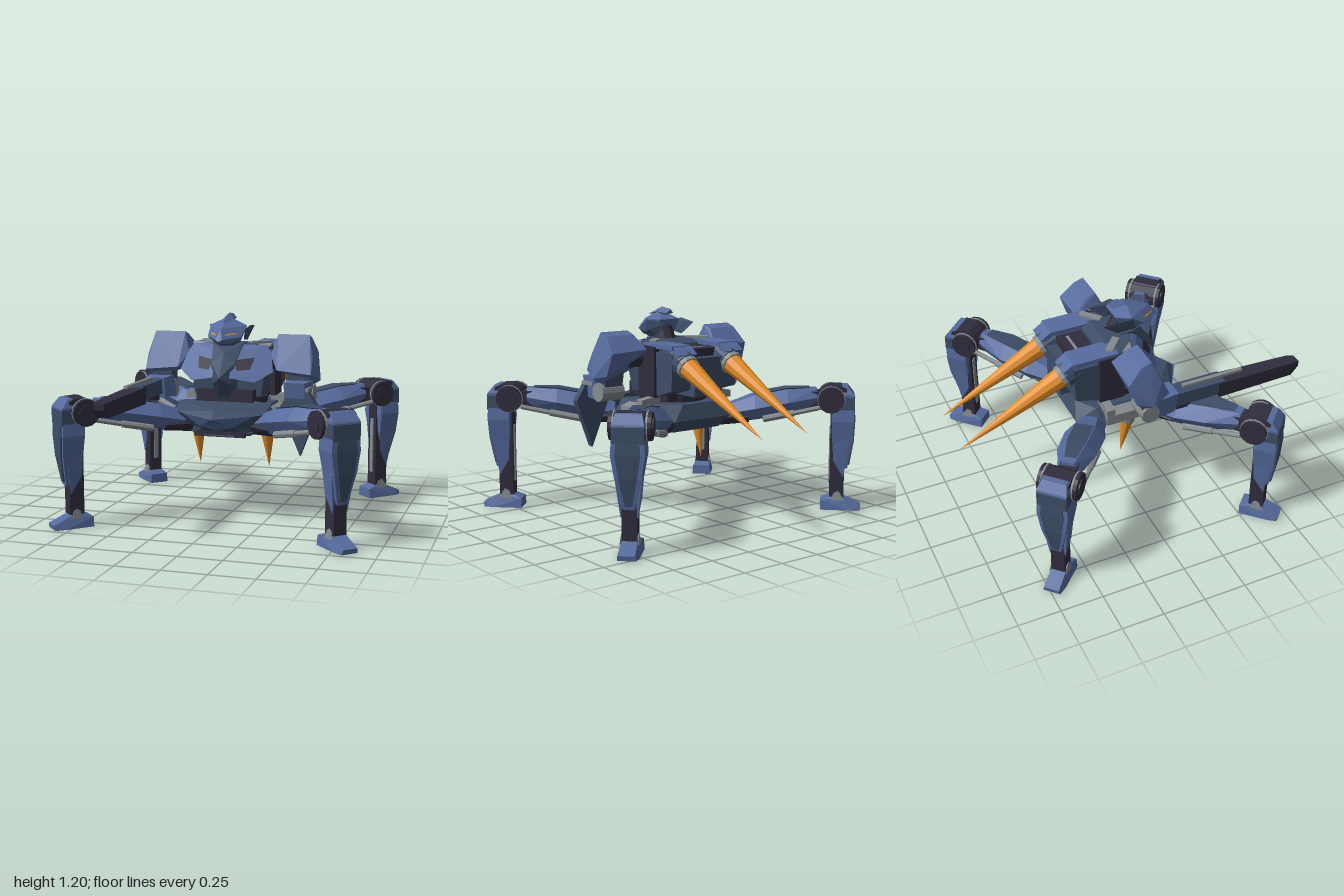
import * as THREE from 'three';
import { ConvexGeometry } from 'three/addons/geometries/ConvexGeometry.js';

const material = (name, color) => {
  const m = new THREE.MeshStandardMaterial({ color });
  m.name = name;
  return m;
};
const blue = material('armour blue', 0x566b9e);
const slate = material('slate blue', 0x3d4d66);
const dark = material('dark frame', 0x302d3d);
const grey = material('bare metal', 0x848a8e);
const orange = material('orange', 0xe08c28);

const V = (p) => new THREE.Vector3(...p);
const mirror = (pts) => pts.map(([x, y, z]) => [-x, y, z]);
const sym = (pts) => [...pts, ...mirror(pts)];

function add(parent, name, geo, mat) {
  const mesh = new THREE.Mesh(geo, mat);
  mesh.name = name;
  parent.add(mesh);
  return mesh;
}
// Faceted convex armour piece
const hull = (parent, name, mat, pts) => add(parent, name, new ConvexGeometry(pts.map(V)), mat);
// Box given by its min and max corners
function box(parent, name, mat, a, b) {
  const g = new THREE.BoxGeometry(b[0] - a[0], b[1] - a[1], b[2] - a[2]);
  g.translate((a[0] + b[0]) / 2, (a[1] + b[1]) / 2, (a[2] + b[2]) / 2);
  return add(parent, name, g, mat);
}
// Faceted cylinder or cone from a to b
function rod(parent, name, mat, a, b, r0, r1 = r0, sides = 12) {
  const d = V(b).sub(V(a));
  const g = new THREE.CylinderGeometry(r1, r0, d.length(), sides).toNonIndexed();
  g.computeVertexNormals();
  const m = add(parent, name, g, mat);
  m.position.copy(V(a)).addScaledVector(d, 0.5);
  m.quaternion.setFromUnitVectors(new THREE.Vector3(0, 1, 0), d.normalize());
  return m;
}
// Six-sided cross-section of the thigh at distance u
const ring = (u, y0, y1, w) => [-1, 1].flatMap((s) => [
  [u, y0, s * w * 0.6], [u, y0 * 0.5 + y1 * 0.5, s * w], [u, y1, s * w * 0.5]]);
// Rectangular cross-section of an upright part
const rect = (y, u0, u1, v) => [[u0, y, -v], [u0, y, v], [u1, y, -v], [u1, y, v]];

function buildThigh() {
  const g = new THREE.Group();
  g.name = 'thigh';
  hull(g, 'thighArmour', blue, [
    ...ring(-0.02, 0.54, 0.635, 0.08), ...ring(0.13, 0.55, 0.69, 0.118),
    ...ring(0.32, 0.58, 0.725, 0.112), ...ring(0.5, 0.62, 0.73, 0.06)]);
  hull(g, 'thighPanel', slate, [[0.13, 0.697, -0.055], [0.13, 0.697, 0.055], [0.32, 0.732, -0.054],
    [0.32, 0.732, 0.054], [0.46, 0.735, -0.033], [0.46, 0.735, 0.033], [0.15, 0.68, 0], [0.4, 0.71, 0]]);
  hull(g, 'hipBlock', dark, [...ring(-0.14, 0.51, 0.62, 0.08), ...ring(0.1, 0.53, 0.6, 0.085)]);
  hull(g, 'thighUnderside', slate, [...ring(0.02, 0.53, 0.6, 0.08), ...ring(0.36, 0.575, 0.66, 0.07)]);
  box(g, 'kneeLink', dark, [0.42, 0.62, -0.05], [0.58, 0.71, 0.05]);
  for (const s of [-1, 1]) {
    rod(g, 'thighPiston', grey, [0.18, 0.555, s * 0.085], [0.36, 0.59, s * 0.085], 0.02, 0.02, 8);
    rod(g, 'pistonRod', grey, [0.34, 0.585, s * 0.085], [0.53, 0.625, s * 0.085], 0.014, 0.014, 8);
  }
  return g;
}

function buildLowerLeg() {
  const g = new THREE.Group();
  g.name = 'lowerLeg';
  rod(g, 'kneeDrum', dark, [-0.06, 0.67, -0.112], [-0.06, 0.67, 0.112], 0.077, 0.077, 16);
  for (const s of [-1, 1]) {
    rod(g, 'kneeHub', dark, [-0.06, 0.67, s * 0.11], [-0.06, 0.67, s * 0.12], 0.045);
    rod(g, 'kneeRim', grey, [-0.06, 0.67, s * 0.082], [-0.06, 0.67, s * 0.092], 0.081, 0.081, 16);
    // Side fins hanging below the shin plate
    hull(g, 'shinFin', blue, [[-0.055, 0.5, s * 0.075], [0.05, 0.42, s * 0.072], [0.02, 0.2, s * 0.046],
      [-0.04, 0.3, s * 0.058], [0, 0.45, s * 0.03], [0.02, 0.22, s * 0.03]]);
    hull(g, 'ankleGuard', grey, [[-0.05, 0.06, s * 0.052], [0.03, 0.06, s * 0.052],
      [-0.01, 0.12, s * 0.046], [-0.01, 0.06, s * 0.03]]);
  }
  // Housing over the drum, with slate outer cap and blue top
  hull(g, 'kneeHousing', dark, [...rect(0.62, -0.1, 0.03, 0.08), ...rect(0.735, -0.09, 0.03, 0.08),
    ...rect(0.748, -0.075, 0.0, 0.08)]);
  hull(g, 'kneeCap', slate, [...rect(0.6, 0, 0.077, 0.085), ...rect(0.69, 0, 0.077, 0.085)]);
  hull(g, 'kneeCapTop', blue, [...rect(0.685, 0, 0.078, 0.085), ...rect(0.7, -0.005, 0.072, 0.085),
    ...rect(0.747, -0.01, 0.035, 0.07)]);
  box(g, 'shinCore', dark, [-0.06, 0.08, -0.04], [0.025, 0.64, 0.04]);
  box(g, 'shinStrip', grey, [-0.066, 0.16, -0.015], [-0.058, 0.5, 0.015]);
  hull(g, 'shinArmour', blue, [...rect(0.61, -0.055, 0.072, 0.085), ...rect(0.54, -0.055, 0.074, 0.09),
    ...rect(0.42, -0.045, 0.07, 0.07), ...rect(0.25, 0.0, 0.042, 0.03)]);
  hull(g, 'shinPanel', slate, [...rect(0.6, 0.05, 0.08, 0.06), ...rect(0.54, 0.05, 0.082, 0.066),
    ...rect(0.42, 0.05, 0.077, 0.048), ...rect(0.27, 0.03, 0.054, 0.018)]);
  rod(g, 'ankle', grey, [-0.015, 0.085, -0.045], [-0.015, 0.085, 0.045], 0.026);
  hull(g, 'foot', blue, [...rect(0.003, -0.11, 0.12, 0.05), ...rect(0.003, -0.11, 0.06, 0.06),
    ...rect(0.03, 0.125, 0.125, 0.045), ...rect(0.08, -0.06, 0.01, 0.042), ...rect(0.06, -0.11, -0.11, 0.055)]);
  box(g, 'sole', dark, [-0.1, 0, -0.045], [0.11, 0.008, 0.045]);
  return g;
}

function buildLegs(model) {
  for (const sx of [-1, 1]) for (const sz of [-1, 1]) {
    const leg = new THREE.Group();
    leg.name = `${sz > 0 ? 'front' : 'back'}${sx > 0 ? 'Left' : 'Right'}Leg`;
    const thigh = buildThigh(), lower = buildLowerLeg();
    thigh.position.set(sx * 0.27, 0, sz * 0.23);
    thigh.rotation.y = -Math.atan2(sz * 0.6, sx * 0.8);
    lower.position.set(sx * 0.77, 0, sz * 0.64);
    lower.rotation.y = -Math.atan2(sz, sx);
    leg.add(thigh, lower);
    leg.position.z = -0.02;
    model.add(leg);
  }
}

function buildBody(g) {
  // Pelvis
  hull(g, 'pelvis', slate, sym([[0.17, 0.51, -0.25], [0.17, 0.51, 0.22], [0.3, 0.58, -0.18], [0.3, 0.58, 0.14],
    [0.2, 0.58, -0.31], [0, 0.6, 0.36], [0.24, 0.67, -0.2], [0.24, 0.67, 0.15], [0.12, 0.67, -0.28]]));
  hull(g, 'bellyPlate', slate, sym([[0.16, 0.5, -0.2], [0.16, 0.5, 0.18], [0.2, 0.53, 0.22], [0.2, 0.53, -0.24], [0.08, 0.51, 0.28]]));
  box(g, 'bellyFrontEdge', dark, [-0.15, 0.502, 0.24], [0.15, 0.53, 0.27]);
  hull(g, 'frontApron', slate, sym([[0, 0.62, 0.42], [0.26, 0.64, 0.27], [0.28, 0.69, 0.16], [0, 0.67, 0.37],
    [0.1, 0.55, 0.3], [0.2, 0.57, 0.22], [0.1, 0.7, 0.1]]));
  hull(g, 'apronTip', blue, sym([[0, 0.628, 0.425], [0.1, 0.57, 0.325], [0, 0.55, 0.34], [0.21, 0.635, 0.3], [0, 0.6, 0.3]]));
  // Waist and torso
  rod(g, 'waistRing', dark, [0, 0.66, -0.03], [0, 0.71, -0.03], 0.2, 0.2, 16);
  box(g, 'waist', dark, [-0.17, 0.68, -0.2], [0.17, 0.76, 0.17]);
  hull(g, 'torso', slate, sym([[0.2, 0.72, -0.17], [0.2, 0.72, 0.1], [0.22, 0.85, -0.17], [0.22, 0.85, 0.11],
    [0.22, 1.0, -0.14], [0.22, 1.0, 0.06], [0.09, 1.02, 0.07], [0.09, 1.02, -0.08]]));
  hull(g, 'keel', slate, sym([[0.09, 1.025, 0.1], [0.09, 1.025, 0.02], [0.07, 0.92, 0.195], [0, 0.98, 0.185], [0, 0.84, 0.28],
    [0.055, 0.8, 0.23], [0.03, 0.72, 0.18], [0.05, 0.73, 0.05]]));
  box(g, 'backPanel', slate, [-0.1, 0.72, -0.36], [0.1, 0.94, -0.14]);
  box(g, 'backVent', dark, [-0.1, 0.9, -0.3], [0.1, 0.985, -0.1]);
  box(g, 'backLatch', grey, [-0.07, 0.975, -0.25], [0.07, 0.99, -0.235]);
  const pec = [[0.05, 1.02, 0.09], [0.22, 1.015, 0.05], [0.05, 0.98, 0.143], [0.25, 0.98, 0.063],
    [0.28, 0.87, 0.133], [0.19, 0.815, 0.205], [0.05, 0.84, 0.247], [0.2, 0.84, 0.06]];
  const intake = [[0.062, 0.935, 0.178], [0.17, 0.95, 0.124], [0.155, 0.885, 0.179], [0.085, 0.88, 0.21], [0.11, 0.92, 0.12]];
  for (const s of [-1, 1]) {
    const at = (pts) => (s > 0 ? pts : mirror(pts));
    const X = (x, y, z) => [s * x, y, z];
    hull(g, 'chestPlate', blue, at(pec));
    hull(g, 'intake', dark, at(intake));
    hull(g, 'collarEdge', grey, at([[0.17, 1.005, 0.05], [0.235, 1.005, 0.03], [0.17, 1.022, 0.04],
      [0.24, 1.02, 0.02], [0.24, 1.005, -0.04], [0.24, 1.02, -0.04]]));
    hull(g, 'collarBar', grey, at([1.0, 1.028].flatMap((y) =>
      [[0.22, y, -0.09], [0.19, y, -0.12], [0.12, y, 0.0], [0.09, y, -0.03]])));
    // Hip side fittings
    hull(g, 'hipCylinder', grey, at([-0.16, 0.06].flatMap((z) =>
      [[0.25, 0.57, z], [0.31, 0.58, z], [0.31, 0.64, z], [0.25, 0.66, z]])));
    hull(g, 'sideBracket', grey, at([-0.17, -0.12].flatMap((z) =>
      [[0.2, 0.66, z], [0.33, 0.66, z], [0.33, 0.7, z], [0.2, 0.72, z]])));
    // Belly spikes
    rod(g, 'bellySpikeCollar', grey, X(0.215, 0.55, 0.01), X(0.215, 0.5, 0.005), 0.05, 0.045);
    rod(g, 'bellySpike', orange, X(0.215, 0.51, 0.005), X(0.215, 0.28, -0.035), 0.042, 0, 10);
    // Back spike launchers
    hull(g, 'launcherHousing', slate, at([0.1, 0.235].flatMap((x) =>
      [[x, 0.97, -0.1], [x, 0.97, -0.33], [x, 0.76, -0.32], [x, 0.72, -0.19], [x, 0.85, -0.1]])));
    hull(g, 'launcherCover', blue, at([0.1, 0.24].flatMap((x) =>
      [[x, 0.99, -0.05], [x, 1.015, -0.06], [x, 1.015, -0.33], [x, 0.99, -0.33]])));
    hull(g, 'launcherBackPlate', blue, at([0.105, 0.23].flatMap((x) =>
      [[x, 1.015, -0.325], [x, 0.97, -0.39], [x, 0.95, -0.35], [x, 0.97, -0.32]])));
    hull(g, 'launcherSide', dark, at([0.215, 0.25].flatMap((x) =>
      [[x, 1.0, -0.03], [x, 1.0, -0.18], [x, 0.71, -0.18], [x, 0.71, -0.03]])));
    rod(g, 'launcherSocket', slate, X(0.16, 0.945, -0.28), X(0.16, 0.905, -0.36), 0.078, 0.076);
    rod(g, 'launcherCollar', grey, X(0.16, 0.91, -0.35), X(0.16, 0.893, -0.383), 0.07, 0.068);
    rod(g, 'backSpike', orange, X(0.16, 0.897, -0.375), X(0.16, 0.58, -1.0), 0.06, 0, 10);
    // Shoulder pad and arm
    hull(g, 'shoulderPad', blue, at([[0.285, 1.08, 0.03], [0.47, 1.08, 0.03], [0.285, 1.06, -0.03], [0.47, 1.06, -0.03],
      [0.25, 0.98, -0.11], [0.49, 0.97, -0.115], [0.25, 0.96, 0.07], [0.5, 0.95, 0.08], [0.535, 0.82, 0.02],
      [0.5, 0.86, 0.13], [0.3, 0.88, 0.13], [0.27, 0.87, -0.02], [0.49, 0.79, -0.02], [0.5, 0.84, -0.07]]));
    rod(g, 'shoulderJoint', dark, X(0.2, 0.93, -0.02), X(0.34, 0.93, -0.02), 0.06);
    hull(g, 'upperArm', slate, at([[0.36, 0.9, -0.05], [0.48, 0.9, -0.05], [0.36, 0.9, 0.08], [0.48, 0.9, 0.08],
      [0.36, 0.7, -0.01], [0.48, 0.7, -0.01], [0.35, 0.72, 0.08], [0.49, 0.72, 0.08]]));
    rod(g, 'elbow', grey, X(0.35, 0.74, 0.02), X(0.5, 0.74, 0.02), 0.055);
    hull(g, 'forearm', blue, at([[0.35, 0.82, 0.06], [0.5, 0.82, 0.06], [0.34, 0.7, 0.04], [0.49, 0.69, 0.04],
      [0.36, 0.82, 0.2], [0.48, 0.82, 0.2], [0.36, 0.7, 0.18], [0.48, 0.7, 0.18]]));
  }
}

function buildHead(g) {
  rod(g, 'neck', dark, [0, 0.98, 0.02], [0, 1.08, 0.06], 0.06, 0.05, 8);
  hull(g, 'skull', blue, sym([[0, 1.18, 0.09], [0, 1.12, 0.24], [0, 1.05, 0.29], [0.02, 1.06, 0.28], [0.11, 1.13, 0.08],
    [0.1, 1.07, 0.17], [0.07, 1.13, 0.0], [0.04, 1.03, 0.2], [0.06, 1.03, 0.05]]));
  hull(g, 'jaw', slate, sym([[0.02, 1.045, 0.25], [0.07, 1.05, 0.14], [0.04, 1.015, 0.14], [0.05, 1.02, 0.03]]));
  hull(g, 'crest', blue, sym([[0, 1.15, 0.2], [0.03, 1.17, 0.08], [0, 1.2, 0.07], [0, 1.19, -0.01], [0.025, 1.165, 0], [0, 1.15, 0.05]]));
  const ear = [[0.1, 1.05, 0.11], [0.125, 1.13, 0.05], [0.1, 1.11, 0.1], [0.105, 1.115, -0.095], [0.09, 1.04, 0.0], [0.115, 1.07, 0.05]];
  const eye = [[0.025, 1.082, 0.255], [0.03, 1.09, 0.239], [0.075, 1.094, 0.176], [0.075, 1.086, 0.185], [0.05, 1.085, 0.19]];
  for (const m of [(p) => p, mirror]) {
    hull(g, 'ear', slate, m(ear));
    hull(g, 'eye', orange, m(eye));
  }
}

function buildWeapons(g) {
  // Long gun on the right arm
  box(g, 'gunBody', slate, [-0.475, 0.725, 0.16], [-0.375, 0.81, 0.5]);
  hull(g, 'gunBarrel', dark, [-1, 1].flatMap((s) => [[-0.425 + s * 0.052, 0.8, 0.46], [-0.425 + s * 0.052, 0.705, 0.46],
    [-0.425 + s * 0.04, 0.79, 0.96], [-0.425 + s * 0.03, 0.785, 1.0], [-0.425 + s * 0.03, 0.75, 1.0], [-0.425 + s * 0.038, 0.705, 0.95]]));
  box(g, 'gunRail', grey, [-0.437, 0.812, 0.25], [-0.413, 0.828, 0.63]);
  box(g, 'gunGrip', dark, [-0.46, 0.69, 0.2], [-0.39, 0.73, 0.36]);
  // Kite-shaped blade on the left arm
  hull(g, 'blade', slate, [0.145, 0.185].flatMap((z) =>
    [[0.39, 0.77, z], [0.5, 0.77, z], [0.56, 0.68, z], [0.455, 0.4, z], [0.335, 0.68, z]]));
  box(g, 'bladeClip', grey, [0.45, 0.77, 0.08], [0.5, 0.79, 0.185]);
}

export function createModel() {
  const model = new THREE.Group();
  model.name = 'walkerMech';
  const parts = { body: buildBody, head: buildHead, weapons: buildWeapons };
  for (const [name, build] of Object.entries(parts)) {
    const g = new THREE.Group();
    g.name = name;
    build(g);
    model.add(g);
  }
  buildLegs(model);
  return model;
}
